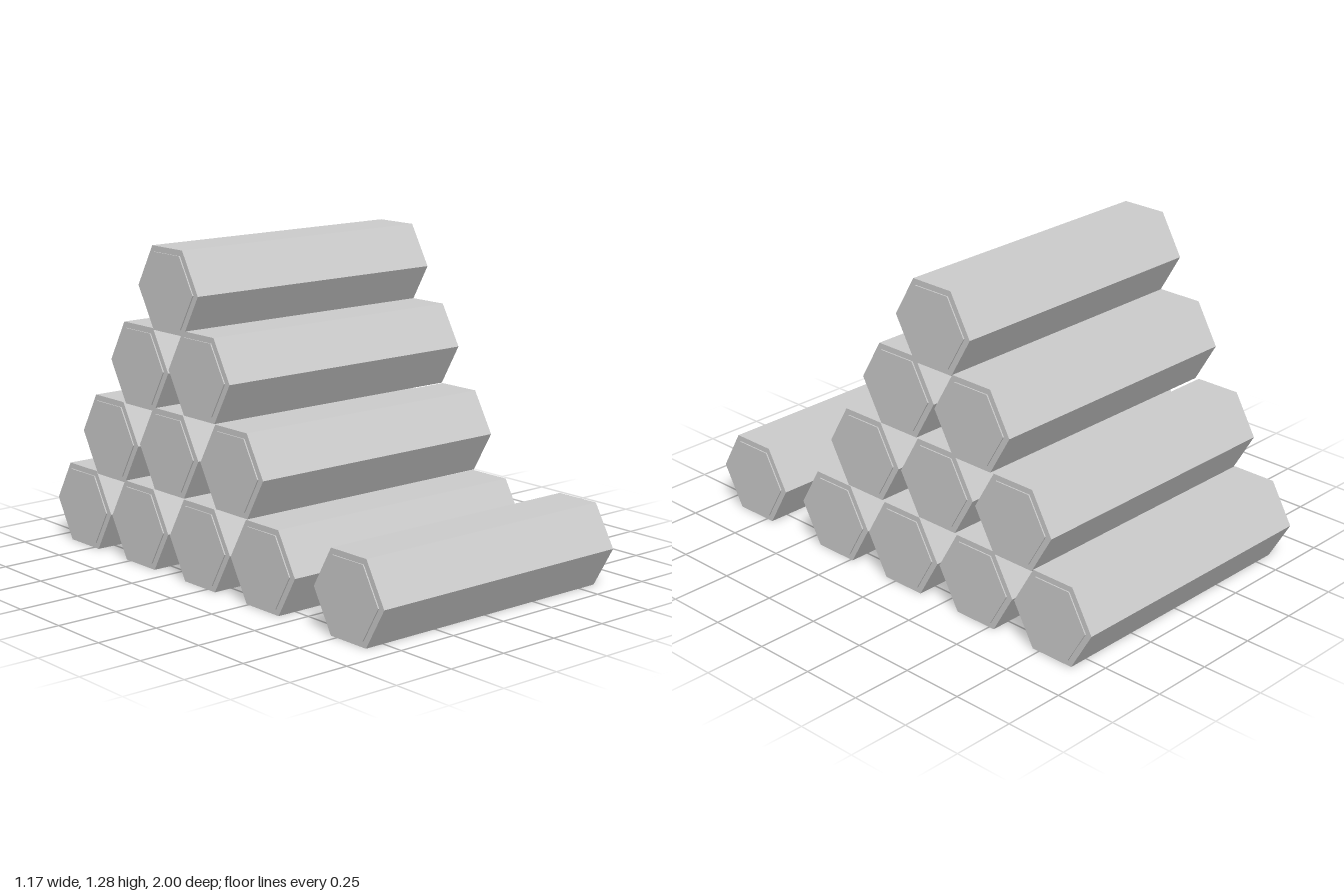
import * as THREE from 'three';

const RADIUS = 0.187;
const HALF = 0.58;   // half length of a log body
const CAP = 0.005;   // how far each end plate stands proud

// Log centres as [z, y], from the ground row upward
const rows = {
  looseLog: [[0.813, 0.164]],
  groundRow: [[0.334, 0.164], [-0.045, 0.164], [-0.43, 0.164], [-0.813, 0.164]],
  secondRow: [[0.155, 0.491], [-0.232, 0.491], [-0.618, 0.479]],
  thirdRow: [[-0.037, 0.816], [-0.414, 0.801]],
  topLog: [[-0.222, 1.119]],
};

// Six-sided prism lying along x, with corners pointing to +z and -z
function hexPrism(radius, length) {
  return new THREE.CylinderGeometry(radius, radius, length, 6).rotateZ(Math.PI / 2);
}

export function createModel() {
  const material = new THREE.MeshStandardMaterial({ color: 0xcccccc, flatShading: true });
  const bodyGeometry = hexPrism(RADIUS, HALF * 2);
  const capGeometry = hexPrism(RADIUS * 0.86, CAP * 2);

  function createLog(z, y) {
    const log = new THREE.Group();
    log.name = 'log';
    const body = new THREE.Mesh(bodyGeometry, material);
    body.name = 'logBody';
    log.add(body);
    // Thin raised plate on each end
    for (const side of [-1, 1]) {
      const cap = new THREE.Mesh(capGeometry, material);
      cap.name = side > 0 ? 'leftEndPlate' : 'rightEndPlate';
      cap.position.x = side * HALF;
      log.add(cap);
    }
    log.position.set(0, y, z);
    return log;
  }

  const model = new THREE.Group();
  model.name = 'logPile';
  for (const [name, centres] of Object.entries(rows)) {
    const row = new THREE.Group();
    row.name = name;
    for (const [z, y] of centres) row.add(createLog(z, y));
    model.add(row);
  }
  return model;
}
